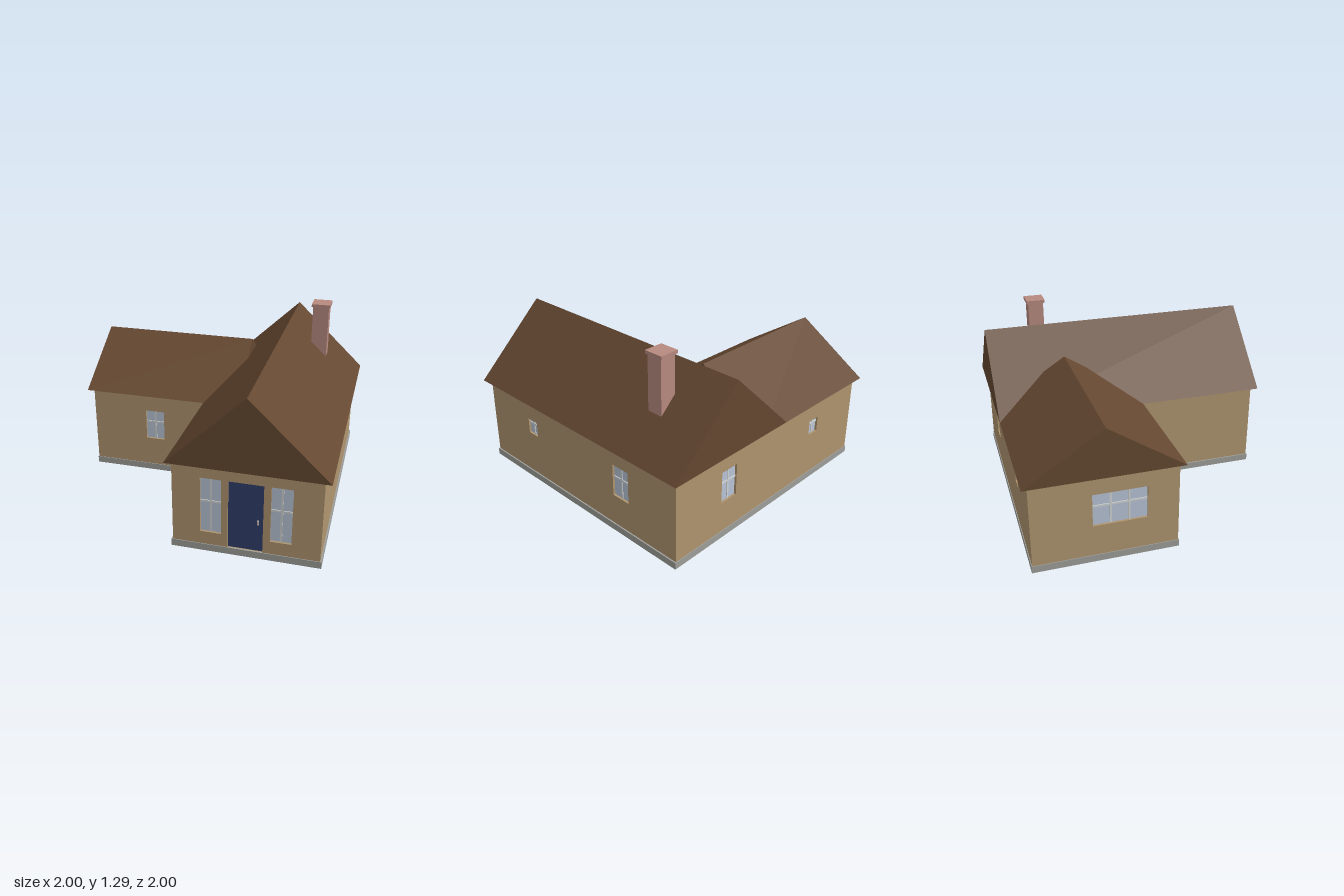
import * as THREE from 'three';

const mat = (name, color) => new THREE.MeshStandardMaterial({ name, color });

export function createModel() {
  const house = new THREE.Group();
  house.name = 'house';
  const M = {
    wall: mat('wall tan', 0xb0956f),
    roof: mat('roof brown', 0x654831),
    base: mat('foundation grey', 0x9f9f9b),
    glass: mat('window glass', 0xb9c5d8),
    bar: mat('window bar', 0xd2d6d6),
    door: mat('door navy', 0x2f3d69),
    handle: mat('handle metal', 0xb5b0a5),
    brick: mat('chimney brick', 0xb88b80),
  };
  const EAVE = 0.645, SILL = 0.05, DEPTH = 0.025;

  const add = (parent, name, geo, material) => {
    const mesh = new THREE.Mesh(geo, material);
    mesh.name = name;
    parent.add(mesh);
    return mesh;
  };
  // Box given by its minimum and maximum corners
  const box = (parent, name, material, a, b) => {
    const size = b.map((v, i) => v - a[i]);
    const mesh = add(parent, name, new THREE.BoxGeometry(...size), material);
    mesh.position.set(...a.map((v, i) => (v + b[i]) / 2));
    return mesh;
  };
  const polygon = (pts) => new THREE.Shape(pts.map((p) => new THREE.Vector2(...p)));
  const rect = (x0, x1, y0, y1) => [[x0, y0], [x1, y0], [x1, y1], [x0, y1]];
  const extrude = (shape, depth) => new THREE.ExtrudeGeometry(shape, { depth, bevelEnabled: false });

  // L-shaped foundation, drawn in x and -z, then laid flat
  const plan = polygon([[-0.965, -0.035], [-0.04, -0.035], [-0.04, -0.965],
    [0.965, -0.965], [0.965, 0.965], [-0.965, 0.965]]);
  add(house, 'foundation', extrude(plan, SILL), M.base).rotation.x = -Math.PI / 2;

  // Recessed panes with glazing bars
  const addWindow = (parent, { u: [u0, u1], y: [y0, y1], columns = 2, rail = 0.57 }) => {
    const win = new THREE.Group();
    win.name = 'window';
    parent.add(win);
    box(win, 'glass', M.glass, [u0, y0, -DEPTH], [u1, y1, -0.016]);
    const w = 0.007;
    for (let i = 1; i < columns; i++) {
      const c = u0 + (u1 - u0) * i / columns;
      box(win, 'verticalBar', M.bar, [c - w, y0, -0.017], [c + w, y1, -0.011]);
    }
    const r = y0 + (y1 - y0) * rail;
    box(win, 'horizontalBar', M.bar, [u0, r - w, -0.017], [u1, r + w, -0.0105]);
  };

  // Wall panel whose local +z faces outward, with cut openings
  const addWall = (name, [u0, u1], offset, angle, windows = [], door = null) => {
    const wall = new THREE.Group();
    wall.name = name;
    wall.rotation.y = angle;
    wall.position.set(Math.sin(angle) * offset, 0, Math.cos(angle) * offset);
    house.add(wall);
    const shape = polygon(rect(u0, u1, 0.01, EAVE));
    for (const o of door ? [...windows, door] : windows) {
      shape.holes.push(new THREE.Path(rect(...o.u, ...o.y).map((p) => new THREE.Vector2(...p))));
    }
    add(wall, 'wallPanel', extrude(shape, DEPTH), M.wall).position.z = -DEPTH;
    windows.forEach((w) => addWindow(wall, w));
    return wall;
  };

  const Y = [0.275, 0.51], SMALL_Y = [0.375, 0.49];
  const doorHole = { u: [0.345, 0.578], y: [SILL, 0.55] };
  const front = addWall('frontWall', [-0.03, 0.955], 0.96, 0, [
    { u: [0.16, 0.3], y: [0.145, 0.55] },
    { u: [0.625, 0.765], y: [0.145, 0.55] },
  ], doorHole);
  addWall('wingFrontWall', [-0.96, -0.03], 0.03, 0, [{ u: [-0.54, -0.395], y: Y, rail: 0.6 }]);
  addWall('rightWall', [-0.96, 0.96], 0.955, Math.PI / 2, [
    { u: [0.39, 0.535], y: Y, rail: 0.6 },
    { u: [-0.52, -0.42], y: SMALL_Y, rail: 0.72 },
  ]);
  addWall('backWall', [-0.955, 0.96], 0.96, Math.PI, [
    { u: [-0.535, -0.39], y: Y, rail: 0.6 },
    { u: [0.42, 0.52], y: SMALL_Y, rail: 0.72 },
  ]);
  addWall('wingEndWall', [-0.96, 0.03], 0.96, -Math.PI / 2, [
    { u: [-0.555, -0.185], y: Y, columns: 3, rail: 0.6 },
  ]);
  addWall('innerWall', [0.0, 0.96], 0.03, -Math.PI / 2);

  // Front door
  box(front, 'door', M.door, [0.345, SILL, -DEPTH], [0.578, 0.55, -0.012]);
  box(front, 'doorHandle', M.handle, [0.538, 0.255, -0.013], [0.55, 0.285, 0.002]);

  // Two crossing gable roofs
  const gable = (a, b, top) => polygon([[a, EAVE], [b, EAVE], [(a + b) / 2, top]]);
  add(house, 'mainRoof', extrude(gable(-0.07, 1, 1.155), 2), M.roof).position.z = -1;
  const wingRoof = add(house, 'wingRoof', extrude(gable(-1, 0.065, 0.99), 1.185), M.roof);
  wingRoof.rotation.y = -Math.PI / 2;
  wingRoof.position.x = 0.185;

  // Chimney with a wider cap
  box(house, 'chimney', M.brick, [0.635, 0.7, -0.64], [0.755, 1.27, -0.525]);
  box(house, 'chimneyCap', M.brick, [0.625, 1.27, -0.653], [0.765, 1.293, -0.513]);

  return house;
}
